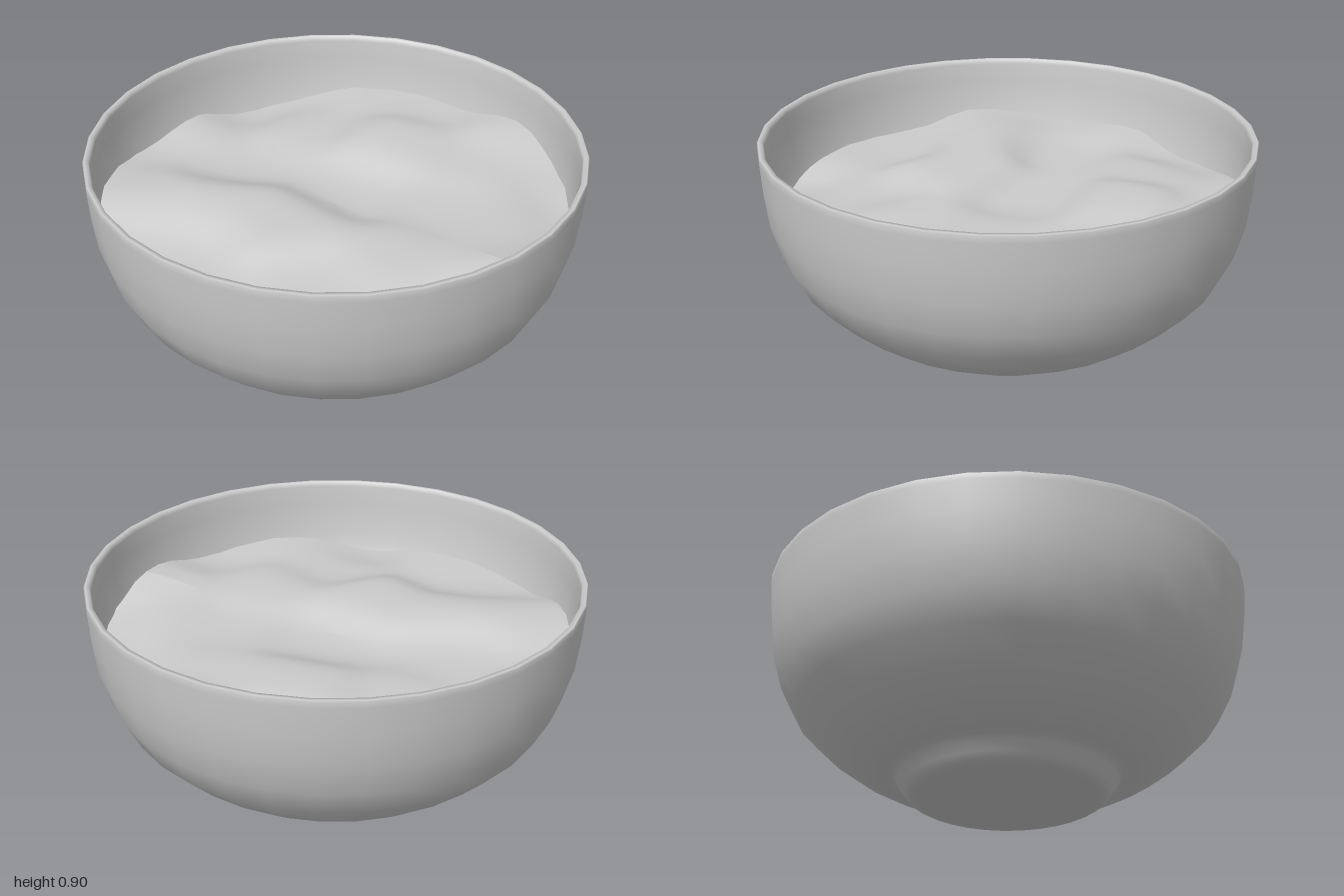
import * as THREE from 'three';

const grey = () => new THREE.MeshStandardMaterial({ color: 0xcccccc, side: THREE.DoubleSide });

// Closed bowl profile: foot, outer wall, rim, inner wall
const PROFILE = [
  [0, 0], [0.37, 0], [0.39, 0.003], [0.408, 0.013], [0.425, 0.035], [0.447, 0.07], [0.468, 0.09],
  [0.51, 0.097], [0.57, 0.11], [0.66, 0.16], [0.76, 0.235], [0.87, 0.345], [0.935, 0.47],
  [0.975, 0.61], [0.992, 0.75], [1, 0.87], [1, 0.896], [0.995, 0.9], [0.978, 0.9], [0.972, 0.88],
  [0.967, 0.8], [0.955, 0.65], [0.91, 0.5], [0.84, 0.37], [0.73, 0.26], [0.6, 0.17], [0.4, 0.13], [0, 0.12],
];

// Peaks and hollows of the contents: x, z, height
const HILLS = [
  // around the edge
  [-0.84, 0.44, 0.65], [-0.92, 0.16, 0.62], [-0.92, -0.11, 0.66], [-0.86, -0.4, 0.575],
  [-0.73, -0.61, 0.6], [-0.52, -0.8, 0.655], [-0.35, -0.89, 0.655], [-0.09, -0.92, 0.66],
  [0.34, -0.89, 0.71], [0.58, -0.75, 0.64], [0.86, -0.4, 0.61], [0.92, 0.09, 0.715],
  [0.88, 0.35, 0.625], [0.79, 0.52, 0.635], [0.66, 0.69, 0.655], [0.53, 0.8, 0.635],
  [0.33, 0.89, 0.57], [-0.05, 0.92, 0.625], [-0.28, 0.89, 0.61], [-0.53, 0.78, 0.605],
  // ridge, hollows and mounds inside
  [-0.66, 0.48, 0.69], [-0.38, 0.38, 0.7], [-0.03, 0.28, 0.695], [-0.3, 0.65, 0.61], [0.3, 0.55, 0.63],
  [-0.55, 0.02, 0.62], [0, -0.12, 0.62], [-0.05, -0.47, 0.7], [-0.5, -0.4, 0.65], [0.3, -0.55, 0.67],
  [0.45, 0.2, 0.68], [0.4, -0.22, 0.65], [0.7, -0.25, 0.68],
];

// Smooth blend of the nearby hills
function heightAt(x, z) {
  let sum = 0, total = 0;
  for (const [hx, hz, h] of HILLS) {
    const w = Math.exp(-((x - hx) ** 2 + (z - hz) ** 2) / 0.032) + 1e-6;
    sum += w * h;
    total += w;
  }
  return sum / total;
}

export function createModel() {
  const model = new THREE.Group();

  const bowl = new THREE.Mesh(
    new THREE.LatheGeometry(PROFILE.map(([r, y]) => new THREE.Vector2(r, y)), 32), grey());
  bowl.name = 'bowl';
  model.add(bowl);

  // Wavy contents: a disc flattened on its four sides, raised by the hills
  const geo = new THREE.RingGeometry(0.001, 1, 64, 22).rotateX(-Math.PI / 2);
  const pos = geo.attributes.position;
  for (let i = 0; i < pos.count; i++) {
    const a = Math.atan2(pos.getZ(i), pos.getX(i));
    const limit = Math.min(0.957, 0.92 / Math.max(Math.abs(Math.cos(a)), Math.abs(Math.sin(a))));
    const x = pos.getX(i) * limit, z = pos.getZ(i) * limit;
    pos.setXYZ(i, x, heightAt(x, z), z);
  }
  geo.computeVertexNormals();
  const contents = new THREE.Mesh(geo, grey());
  contents.name = 'contents';
  model.add(contents);

  return model;
}
